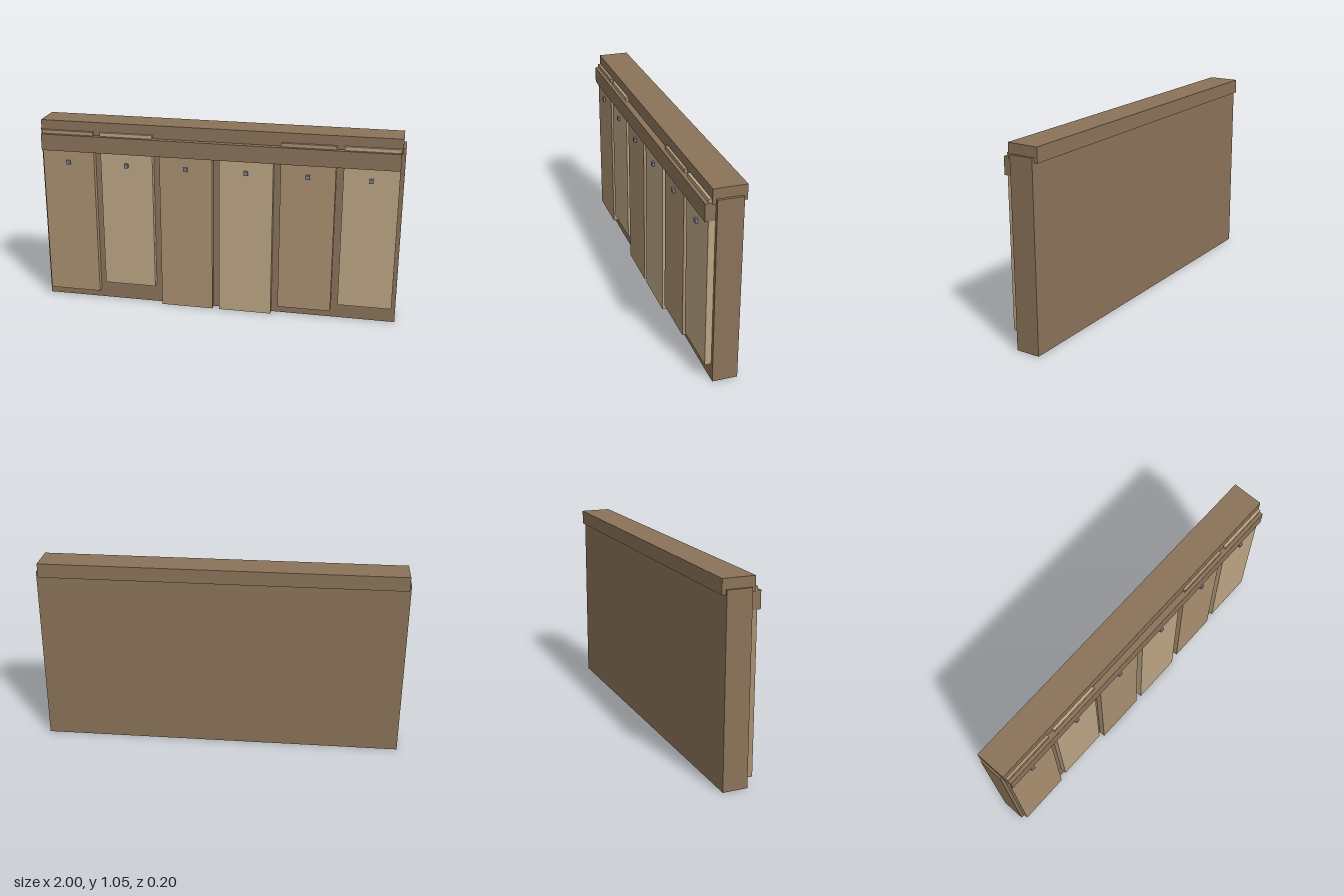
import * as THREE from 'three';

const material = (color) => new THREE.MeshStandardMaterial({ color });

export function createModel() {
  const group = new THREE.Group();
  const frame = material(0x8b7359);
  const darkWood = material(0xa98f70);
  const lightWood = material(0xbca684);
  const metal = material(0x7c828c);

  // Box given by its lower and upper limits on each axis
  const box = (name, mat, [x0, x1], [y0, y1], [z0, z1]) => {
    const mesh = new THREE.Mesh(new THREE.BoxGeometry(x1 - x0, y1 - y0, z1 - z0), mat);
    mesh.position.set((x0 + x1) / 2, (y0 + y1) / 2, (z0 + z1) / 2);
    mesh.name = name;
    group.add(mesh);
  };

  // Backing wall, top cap and front rail
  box('backWall', frame, [-1, 1], [0, 1], [-0.082, 0.05]);
  box('topCap', frame, [-0.99, 0.986], [0.975, 1.053], [-0.102, 0.069]);
  box('frontRail', frame, [-0.983, 0.98], [0.888, 0.98], [0.05, 0.102]);

  // Planks of alternating tone, each with a nail near the top
  const bottoms = [0.048, 0.108, 0, 0, 0.048, 0.092];
  const tops = [1, 1, 0.95, 0.95, 1, 1];
  bottoms.forEach((bottom, i) => {
    const x = -0.002 + (i - 2.5) * 0.3335;
    const wood = i % 2 ? lightWood : darkWood;
    box(`plank${i + 1}`, wood, [x - 0.147, x + 0.147], [bottom, tops[i]], [0.05, 0.084]);
    box(`nail${i + 1}`, metal, [x - 0.011, x + 0.011], [0.81, 0.833], [0.075, 0.097]);
  });

  return group;
}
